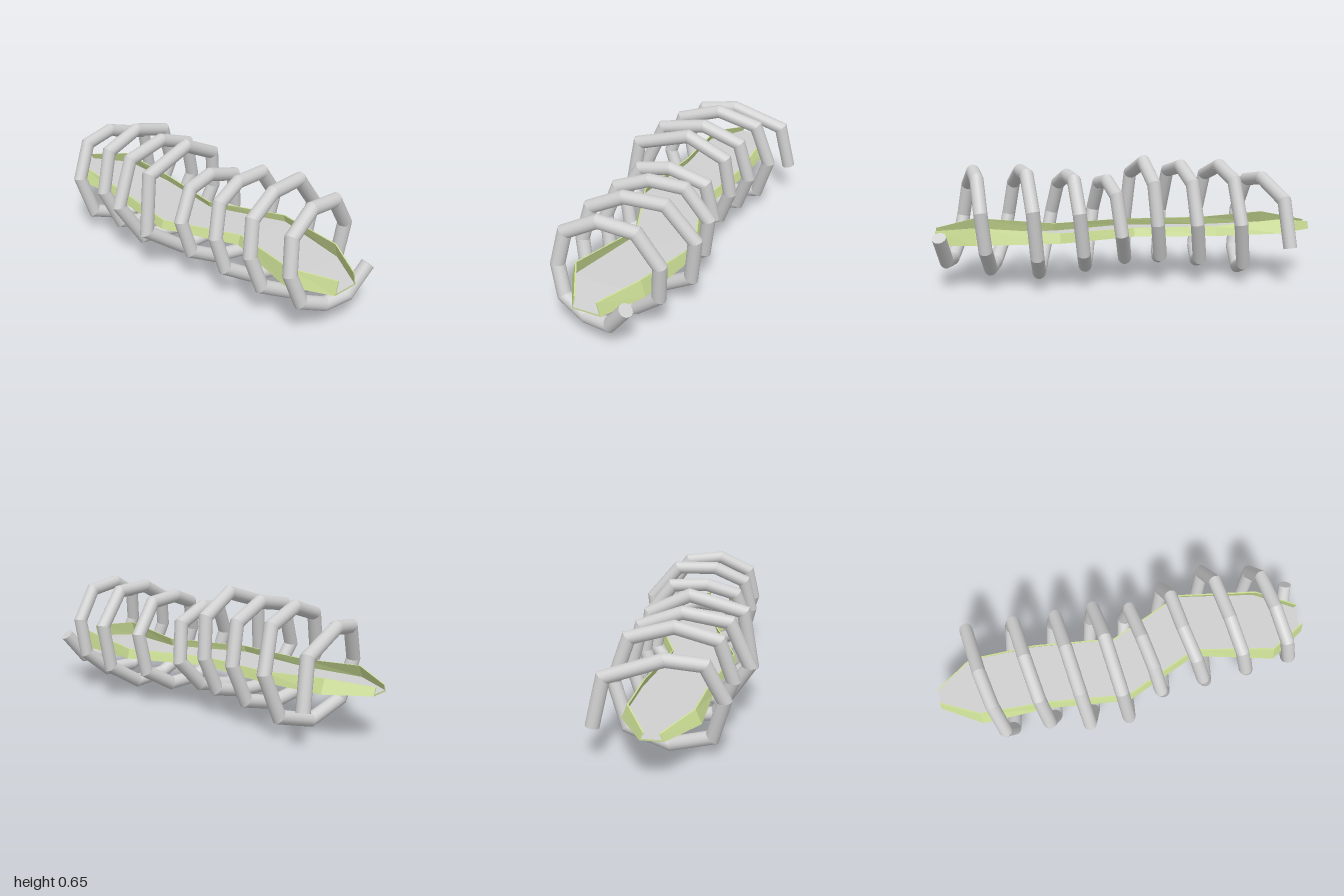
import * as THREE from 'three';

const gray = new THREE.MeshStandardMaterial({ color: 0xd0d0d0 });
gray.name = 'light gray';
const green = new THREE.MeshStandardMaterial({ color: 0xcbde95 });
green.name = 'leaf green';

const TUBE = 0.035, CENTRE_Y = 0.31;

// Quarter-turn knots per loop, in order: back, top, front, bottom
const coilX = [
  -0.79, -0.75, -0.69, -0.62, -0.55, -0.51, -0.46, -0.39,
  -0.33, -0.30, -0.26, -0.18, -0.13, -0.10, -0.06, 0.00,
  0.06, 0.09, 0.14, 0.21, 0.27, 0.30, 0.37, 0.45,
  0.50, 0.54, 0.60, 0.69, 0.75, 0.78, 0.84, 0.91, 0.965];
const coilR = [
  0.315, 0.205, 0.265, 0.275, 0.29, 0.275, 0.275, 0.23,
  0.255, 0.275, 0.33, 0.205, 0.23, 0.30, 0.345, 0.19,
  0.22, 0.20, 0.255, 0.205, 0.30, 0.235, 0.235, 0.225,
  0.34, 0.265, 0.235, 0.215, 0.27, 0.265, 0.225, 0.185, 0.2];
// Corners in each turn, and the quarter-turn offset of its first corner
const turns = [
  [8, 0], [8, 0], [8, 0], [7, 0], [9, 0.04], [9, 0.06], [9, 0.08], [9, 0.08]];

// Point on the coil at t quarter turns
function coilPoint(t) {
  const i = Math.min(Math.max(Math.floor(t), 0), coilX.length - 2), f = t - i;
  const a = Math.PI - t * Math.PI / 2;
  const r = THREE.MathUtils.lerp(coilR[i], coilR[i + 1], f) * (1 + 0.08 * Math.sin(2 * a) ** 2);
  return new THREE.Vector3(
    THREE.MathUtils.lerp(coilX[i], coilX[i + 1], f),
    CENTRE_Y + r * Math.sin(a),
    r * Math.cos(a));
}

// Straight pipe from p to q with ends cut along the mitre planes
function pipe(p, q, cutP, cutQ, capped) {
  const d = q.clone().sub(p), len = d.length();
  d.normalize();
  const geo = new THREE.CylinderGeometry(TUBE, TUBE, len, 14, 1, !capped);
  geo.applyQuaternion(new THREE.Quaternion().setFromUnitVectors(new THREE.Vector3(0, 1, 0), d));
  const pos = geo.attributes.position, v = new THREE.Vector3();
  for (let i = 0; i < pos.count; i++) {
    v.fromBufferAttribute(pos, i);
    const along = v.dot(d), atEnd = along > 0, n = atEnd ? cutQ : cutP;
    v.addScaledVector(d, -along);
    v.addScaledVector(d, -v.dot(n) / d.dot(n)).add(atEnd ? q : p);
    pos.setXYZ(i, v.x, v.y, v.z);
  }
  return geo;
}

function makeCoil() {
  const coil = new THREE.Group();
  coil.name = 'coil';
  const ts = [-0.23, 0.25];
  turns.forEach(([n, offset], turn) => {
    for (let j = 0; j < n; j++) {
      const t = 4 * turn + 1 + offset + 4 * j / n;
      if (t < 31.6) ts.push(t);
    }
  });
  ts.push(31.87);
  const pts = ts.map(coilPoint);
  const dirs = pts.slice(1).map((p, i) => p.clone().sub(pts[i]).normalize());
  const cuts = pts.map((_, i) => {
    const a = dirs[Math.max(i - 1, 0)], b = dirs[Math.min(i, dirs.length - 1)];
    return a.clone().add(b).normalize();
  });
  dirs.forEach((_, i) => {
    const capped = i === 0 || i === dirs.length - 1;
    const mesh = new THREE.Mesh(pipe(pts[i], pts[i + 1], cuts[i], cuts[i + 1], capped), gray);
    mesh.name = 'coilSegment';
    coil.add(mesh);
  });
  return coil;
}

// Tray stations: x, back z, front z, underside y, rim top y, inward lean of the rim
const stations = [
  [-1.00, -0.06, 0.05, 0.240, 0.278, 0.015],
  [-0.80, -0.19, 0.18, 0.240, 0.310, 0.028],
  [-0.45, -0.18, 0.18, 0.235, 0.285, 0.014],
  [-0.03, -0.12, 0.24, 0.235, 0.278, 0.014],
  [0.37, -0.28, 0.08, 0.238, 0.287, 0.014],
  [0.78, -0.20, 0.19, 0.225, 0.310, 0.022],
  [0.98, -0.08, 0.07, 0.210, 0.282, 0.015]];

// U-shaped cross-section running from the back underside to the front underside
function section([x, zb, zf, yb, yt, lean]) {
  const wall = 0.008, deck = yb + 0.008;
  return [[zb, yb], [zb + lean, yt], [zb + lean + wall, yt], [zb + wall, deck],
    [zf - wall, deck], [zf - lean - wall, yt], [zf - lean, yt], [zf, yb]].map(([z, y]) => [x, y, z]);
}

function flatGeometry(quads) {
  const pos = quads.flatMap(([a, b, c, d]) => [a, b, c, a, c, d]).flat();
  const geo = new THREE.BufferGeometry();
  geo.setAttribute('position', new THREE.Float32BufferAttribute(pos, 3));
  geo.computeVertexNormals();
  return geo;
}

function makeTray() {
  const tray = new THREE.Group();
  tray.name = 'tray';
  const rings = stations.map(section), shell = [], deck = [];
  for (let i = 0; i < rings.length - 1; i++) {
    for (let j = 0; j < 8; j++) {
      const k = (j + 1) % 8;
      (j === 3 ? deck : shell).push([rings[i][j], rings[i][k], rings[i + 1][k], rings[i + 1][j]]);
    }
  }
  // End faces
  const first = rings[0], last = rings[rings.length - 1];
  for (const ids of [[0, 1, 2, 3], [0, 3, 4, 7], [4, 5, 6, 7]]) {
    shell.push(ids.map(i => last[i]));
    shell.push(ids.map(i => first[i]).reverse());
  }
  const shellMesh = new THREE.Mesh(flatGeometry(shell), green);
  shellMesh.name = 'rimAndUnderside';
  const deckMesh = new THREE.Mesh(flatGeometry(deck), gray);
  deckMesh.name = 'deck';
  tray.add(shellMesh, deckMesh);
  return tray;
}

export function createModel() {
  const model = new THREE.Group();
  model.name = 'coiledTray';
  model.add(makeTray(), makeCoil());
  return model;
}
